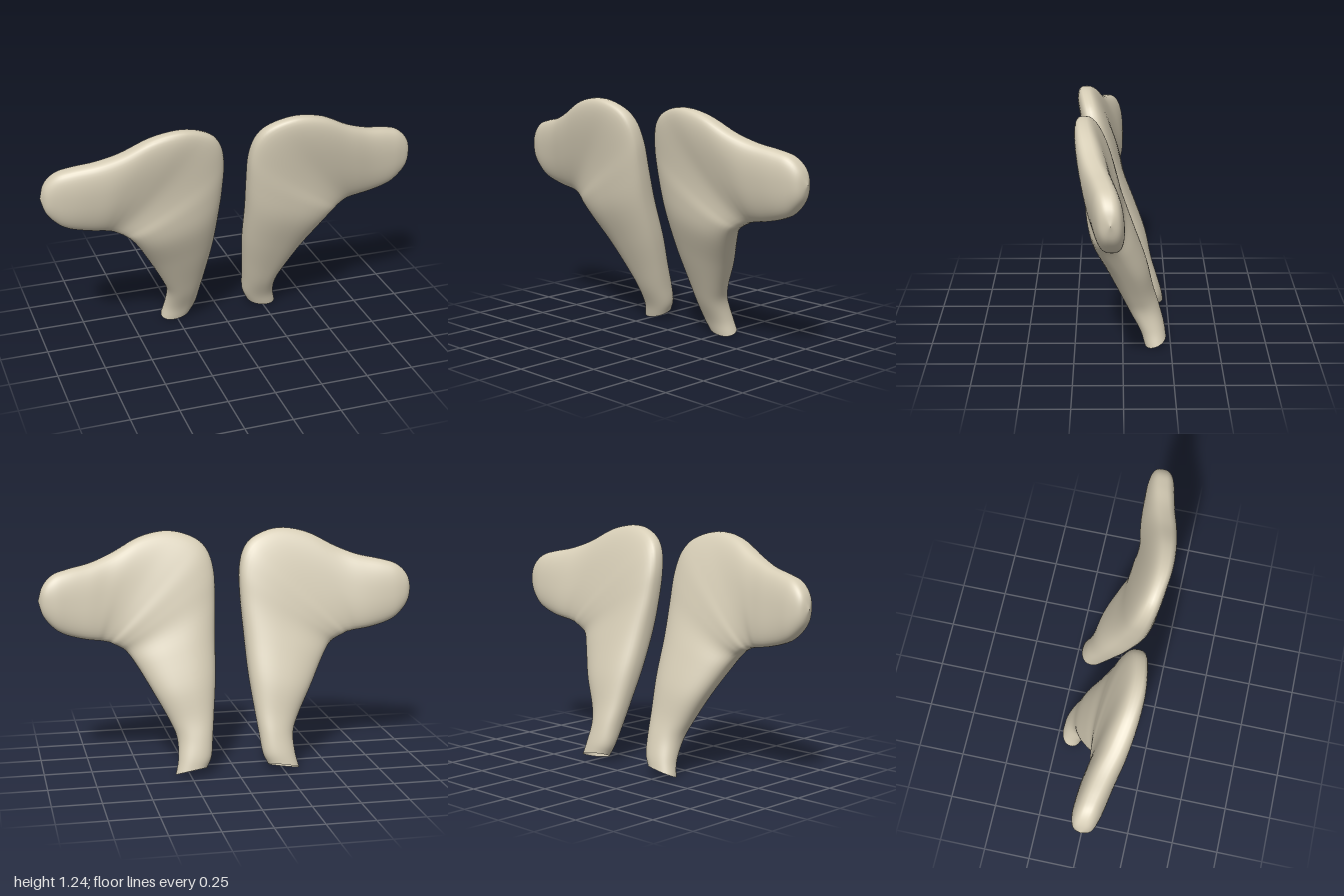
import * as THREE from 'three';

// Cross-sections from the stem base, up the blade and out to the lobe tip:
// outer edge x, y, z | inner edge x, y, z | half thickness
const SECTIONS = [
  [0.165, 0.04, -0.17, 0.33, 0.012, -0.17, 0.056],
  [0.138, 0.10, -0.155, 0.312, 0.09, -0.15, 0.063],
  [0.125, 0.20, -0.12, 0.31, 0.19, -0.105, 0.076],
  [0.11, 0.32, -0.075, 0.345, 0.28, -0.07, 0.086],
  [0.09, 0.50, -0.01, 0.42, 0.42, -0.025, 0.106],
  [0.08, 0.70, 0.06, 0.50, 0.56, 0.04, 0.112],
  [0.07, 0.88, 0.105, 0.55, 0.63, 0.07, 0.1],
  [0.07, 1.03, 0.135, 0.59, 0.66, 0.065, 0.09],
  [0.10, 1.14, 0.16, 0.62, 0.675, 0.06, 0.084],
  [0.17, 1.205, 0.18, 0.64, 0.685, 0.06, 0.078],
  [0.30, 1.24, 0.197, 0.66, 0.69, 0.058, 0.076],
  [0.45, 1.215, 0.187, 0.68, 0.695, 0.058, 0.077],
  [0.60, 1.14, 0.157, 0.71, 0.70, 0.055, 0.08],
  [0.72, 1.095, 0.122, 0.77, 0.71, 0.053, 0.08],
  [0.84, 1.07, 0.093, 0.86, 0.735, 0.055, 0.076],
  [0.92, 1.045, 0.078, 0.92, 0.77, 0.055, 0.068],
  [0.975, 0.99, 0.066, 0.975, 0.835, 0.06, 0.047],
  [1.0, 0.915, 0.06, 1.0, 0.915, 0.06, 0],
];

const curve = (pick) => new THREE.CatmullRomCurve3(
  SECTIONS.map((s) => new THREE.Vector3(...pick(s))), false, 'catmullrom', 0.5);
const softPow = (v, p) => Math.sign(v) * Math.pow(Math.abs(v), p);

// Smooth skin through rounded rings; side = 1 or -1 mirrors it in x
function bladeGeometry(side) {
  const outer = curve((s) => s.slice(0, 3));
  const inner = curve((s) => s.slice(3, 6));
  const depth = curve((s) => [s[6], 0, 0]);
  const rings = (SECTIONS.length - 1) * 5;
  const around = 48;
  const positions = [];
  const index = [];
  for (let i = 0; i <= rings; i++) {
    const t = i / rings;
    const o = outer.getPoint(t);
    const n = inner.getPoint(t);
    const half = depth.getPoint(t).x;
    // The stem is rounder and its rings lean; the blade is flatter
    const roundness = Math.max(0.68, 0.95 - 0.7 * t);
    const tilt = 0.021 * Math.max(0, 1 - 4 * t);
    for (let j = 0; j < around; j++) {
      const a = (j / around) * Math.PI * 2;
      const across = (1 - softPow(Math.cos(a), 0.9)) / 2;
      const out = softPow(Math.sin(a), roundness);
      const p = o.clone().lerp(n, across);
      positions.push(side * p.x, p.y - tilt * out, p.z + half * out);
    }
  }
  for (let i = 0; i < rings; i++) {
    for (let j = 0; j < around; j++) {
      const k = (j + 1) % around;
      const a = i * around + j;
      const b = i * around + k;
      const c = a + around;
      const e = b + around;
      if (side > 0) index.push(a, b, c, b, e, c);
      else index.push(a, c, b, b, c, e);
    }
  }
  const geometry = new THREE.BufferGeometry();
  geometry.setAttribute('position', new THREE.Float32BufferAttribute(positions, 3));
  geometry.setIndex(index);
  geometry.computeVertexNormals();
  return geometry;
}

export function createModel() {
  const group = new THREE.Group();
  // Open at the stem base, so both faces show
  const material = new THREE.MeshStandardMaterial({ color: 0xd6cdb6, side: THREE.DoubleSide });
  material.name = 'warm beige';
  for (const [name, side] of [['leftBlade', 1], ['rightBlade', -1]]) {
    const blade = new THREE.Mesh(bladeGeometry(side), material);
    blade.name = name;
    group.add(blade);
  }
  return group;
}
